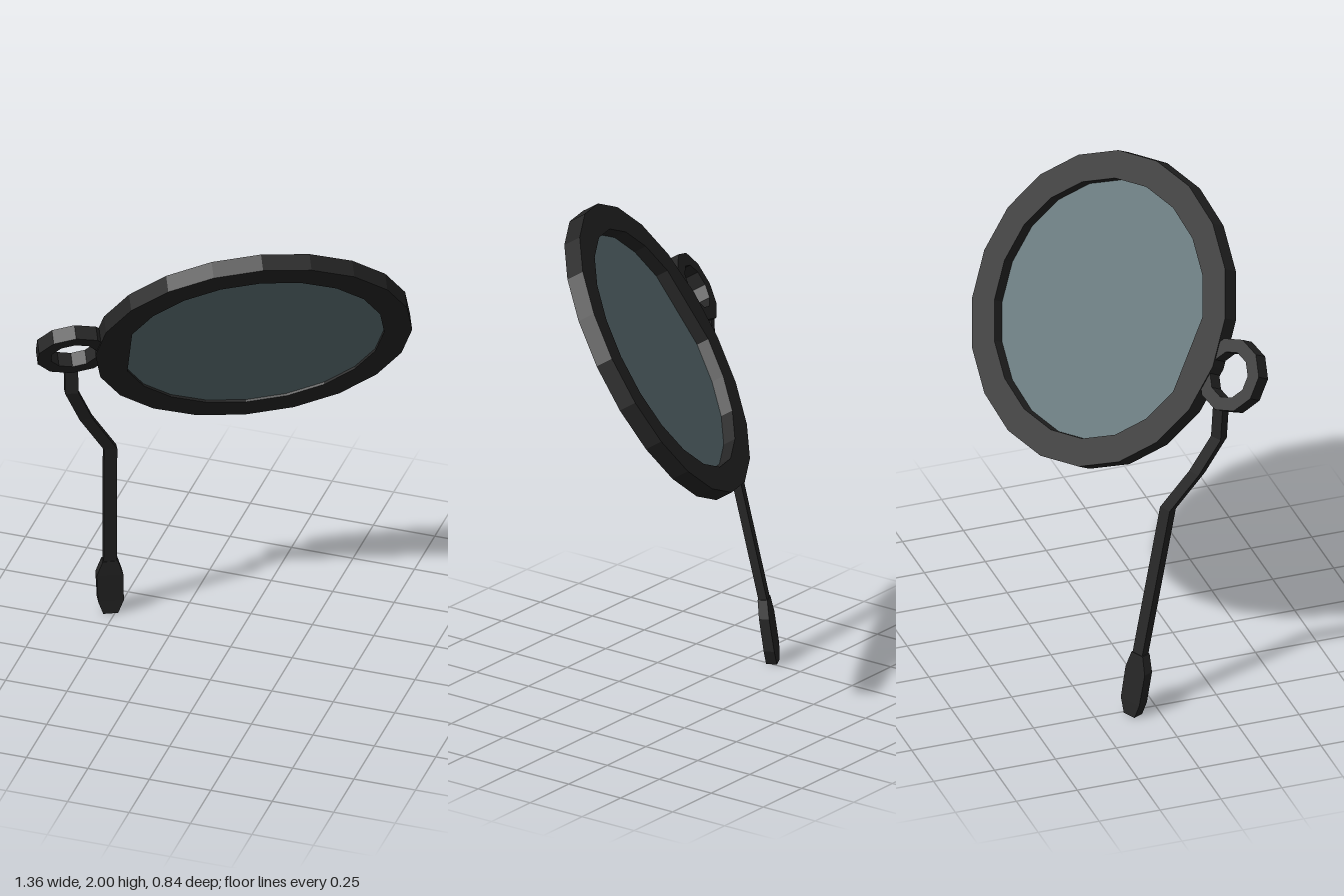
import * as THREE from 'three';

const frameMat = new THREE.MeshStandardMaterial({ color: 0x252525 });
frameMat.name = 'blackFrame';
const glassMat = new THREE.MeshStandardMaterial({ color: 0x5d7074 });
glassMat.name = 'tealGlass';

// Regular polygon with a corner straight up; one corner may be skipped
function polygon(radius, sides, skip = -1) {
  const pts = [];
  for (let i = 0; i < sides; i++) {
    if (i === skip) continue;
    const a = Math.PI / 2 + (i / sides) * Math.PI * 2;
    pts.push(new THREE.Vector2(Math.cos(a) * radius, Math.sin(a) * radius));
  }
  return pts;
}

// Flat-sided plate, from z0 to z1, with an optional hole
function plate(name, outer, hole, z0, z1, mat) {
  const shape = new THREE.Shape(outer);
  if (hole) shape.holes.push(new THREE.Path(hole));
  const geo = new THREE.ExtrudeGeometry(shape, { depth: z1 - z0, bevelEnabled: false });
  geo.translate(0, 0, z0);
  const mesh = new THREE.Mesh(geo, mat);
  mesh.name = name;
  return mesh;
}

// Loft of horizontal rectangles: each section is [x, y, z, width, depth]
function loft(sections, yaw) {
  const c = Math.cos(yaw), s = Math.sin(yaw);
  const rings = sections.map(([x, y, z, w, d]) =>
    [[-1, 1], [1, 1], [1, -1], [-1, -1]].map(([i, j]) => {
      const a = (i * w) / 2, b = (j * d) / 2;
      return [x + a * c + b * s, y, z - a * s + b * c];
    }));
  const pos = [];
  const quad = (p, q, r, t) => pos.push(...p, ...q, ...r, ...p, ...r, ...t);
  for (let k = 0; k < rings.length - 1; k++) {
    const up = rings[k], low = rings[k + 1];
    for (let i = 0; i < 4; i++) {
      const j = (i + 1) % 4;
      quad(low[i], low[j], up[j], up[i]);
    }
  }
  const top = rings[0], bottom = rings[rings.length - 1];
  quad(top[0], top[1], top[2], top[3]);
  quad(bottom[3], bottom[2], bottom[1], bottom[0]);
  const geo = new THREE.BufferGeometry();
  geo.setAttribute('position', new THREE.Float32BufferAttribute(pos, 3));
  geo.computeVertexNormals();
  return geo;
}

export function createModel() {
  const model = new THREE.Group();
  model.name = 'eyeglass';

  // Tilted eyepiece: local z is the lens axis
  const eyepiece = new THREE.Group();
  eyepiece.name = 'eyepiece';
  const axis = new THREE.Vector3(0.38, -0.51, 0.77).normalize();
  const side = new THREE.Vector3(0.215, 0.86, 0.464).cross(axis).normalize();
  const up = axis.clone().cross(side);
  eyepiece.quaternion.setFromRotationMatrix(new THREE.Matrix4().makeBasis(side, up, axis));
  eyepiece.position.set(0.09, 1.45, 0);
  model.add(eyepiece);

  // The opening is cut straight beside the loop (corner 5 left out)
  const t = 0.035;
  eyepiece.add(plate('rim', polygon(0.617, 20), polygon(0.508, 20, 5), -t, t, frameMat));
  eyepiece.add(plate('lens', polygon(0.508, 20, 5), null, 0.016, 0.025, glassMat));

  // Small loop that carries the handle
  const loop = plate('loop', polygon(0.146, 10), polygon(0.092, 10), -0.03, 0.03, frameMat);
  loop.position.x = -0.7;
  eyepiece.add(loop);

  // Bent handle rod with a flared paddle end
  const w = 0.052, d = 0.034;
  const handle = new THREE.Mesh(loft([
    [-0.57, 1.33, 0.243, w, d],
    [-0.57, 1.2, 0.235, w, d],
    [-0.537, 1.04, 0.157, w, d],
    [-0.47, 0.86, 0.062, w, d],
    [-0.513, 0.26, -0.066, w, d],
  ], 0.45), frameMat);
  handle.name = 'handle';
  const tip = new THREE.Mesh(loft([
    [-0.513, 0.26, -0.066, 0.06, 0.038],
    [-0.518, 0.19, -0.075, 0.104, 0.04],
    [-0.521, 0.06, -0.096, 0.1, 0.042],
    [-0.524, 0, -0.101, 0.058, 0.042],
  ], 0.45), frameMat);
  tip.name = 'handleTip';
  model.add(handle, tip);
  return model;
}
